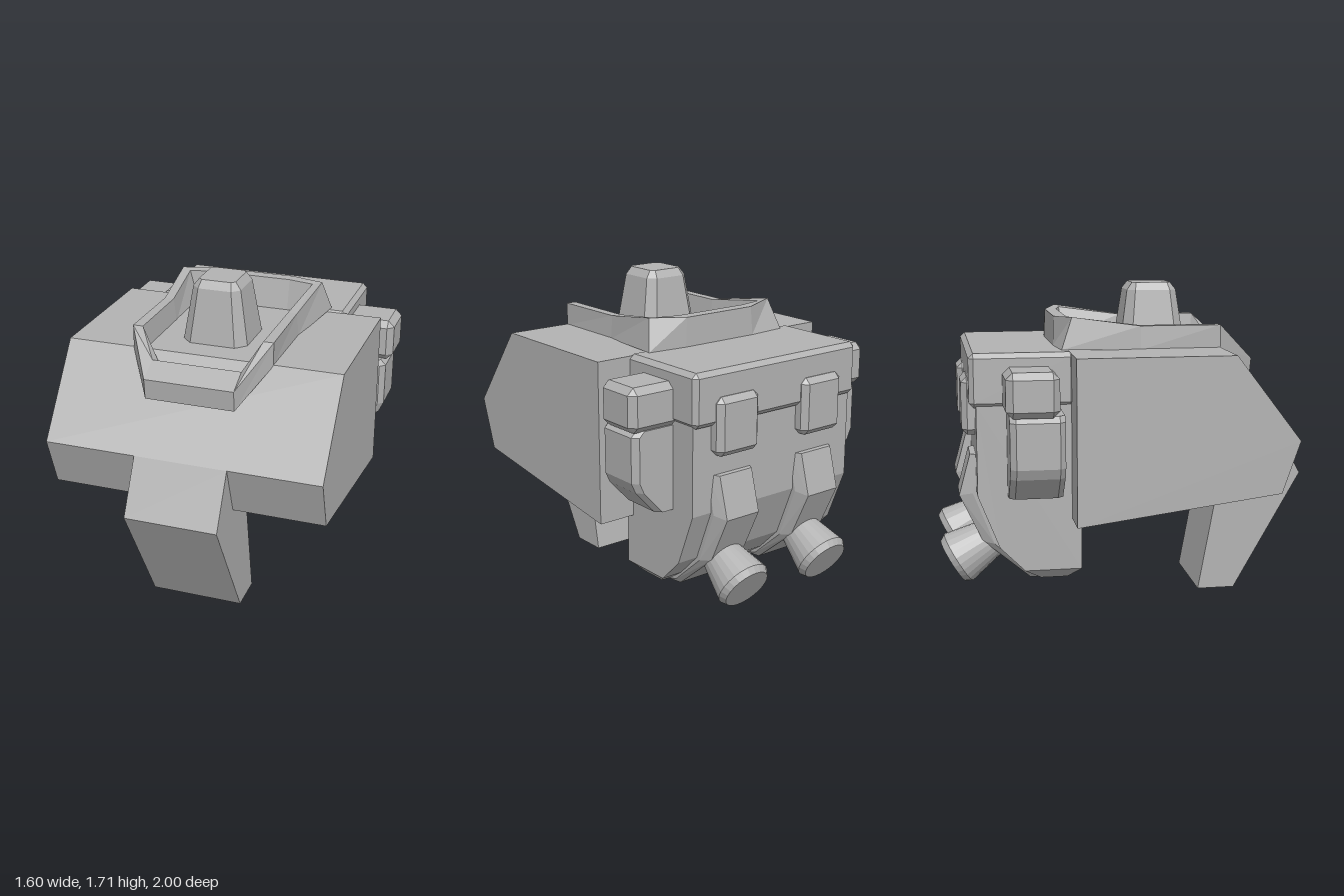
import * as THREE from 'three';
import { ConvexGeometry } from 'three/addons/geometries/ConvexGeometry.js';

const grey = new THREE.MeshStandardMaterial({ color: 0xb2b2b2, flatShading: true });
grey.name = 'plain grey';

export function createModel() {
  const model = new THREE.Group();
  model.name = 'model';

  const add = (name, geometry) => {
    const mesh = new THREE.Mesh(geometry, grey);
    mesh.name = name;
    model.add(mesh);
    return mesh;
  };
  const hull = (pts) => new ConvexGeometry(pts.map((p) => new THREE.Vector3(...p)));

  // Prism from a side profile of [z, y] points, centred on x = 0
  const prism = (profile, halfWidth) => {
    const shape = new THREE.Shape(profile.map(([z, y]) => new THREE.Vector2(-z, y)));
    const g = new THREE.ExtrudeGeometry(shape, { depth: halfWidth * 2, bevelEnabled: false });
    return g.translate(0, 0, -halfWidth).rotateY(Math.PI / 2);
  };

  // Box with every edge chamfered
  const chamferBox = ([x0, x1], [y0, y1], [z0, z1], c) => {
    const pts = [];
    for (const [x, sx] of [[x0, 1], [x1, -1]])
      for (const [y, sy] of [[y0, 1], [y1, -1]])
        for (const [z, sz] of [[z0, 1], [z1, -1]])
          pts.push([x, y + sy * c, z + sz * c], [x + sx * c, y, z + sz * c], [x + sx * c, y + sy * c, z]);
    return hull(pts);
  };

  // Rectangle with cut corners at height y
  const cutRect = (hx, hz, cut, y, cz) => {
    const pts = [];
    for (const sx of [-1, 1])
      for (const sz of [-1, 1])
        pts.push([sx * hx, y, cz + sz * (hz - cut)], [sx * (hx - cut), y, cz + sz * hz]);
    return pts;
  };

  // Main body and the leg below its nose
  add('body', prism([[0.5, 1.38], [-0.32, 1.38], [-0.32, 0.515], [0.75, 0.655], [0.845, 0.93]], 0.745));
  add('frontLeg', prism([[1.0, 0.65], [0.845, 0.93], [0.54, 0.63], [0.425, 0], [0.63, 0]], 0.25));

  // Cockpit rim: sections of outer bottom, outer top, inner top, inner bottom
  const half = [
    [[0.24, 1.19, 0.7], [0.24, 1.3, 0.71], [0.24, 1.36, 0.59], [0.22, 1.33, 0.55]],
    [[0.38, 1.375, 0.5], [0.38, 1.5, 0.5], [0.325, 1.5, 0.5], [0.31, 1.37, 0.49]],
    [[0.385, 1.375, 0.07], [0.375, 1.5, 0.07], [0.325, 1.5, 0.07], [0.31, 1.37, 0.07]],
    [[0.455, 1.39, -0.36], [0.41, 1.555, -0.3], [0.36, 1.545, -0.28], [0.31, 1.37, -0.27]],
    [[0.23, 1.39, -0.38], [0.22, 1.545, -0.375], [0.22, 1.545, -0.31], [0.22, 1.37, -0.27]],
  ];
  const mirrored = half.map((s) => s.map(([x, y, z]) => [-x, y, z])).reverse();
  const ring = [...half, ...mirrored];
  const rimPoints = [];
  ring.forEach((a, i) => {
    const b = ring[(i + 1) % ring.length];
    for (let j = 0; j < 4; j++) {
      const k = (j + 1) % 4;
      rimPoints.push(a[j], b[j], b[k], a[j], b[k], a[k]);
    }
  });
  const rim = new THREE.BufferGeometry();
  rim.setAttribute('position', new THREE.Float32BufferAttribute(rimPoints.flat(), 3));
  rim.computeVertexNormals();
  add('cockpitRim', rim);

  // Tapered block standing in the cockpit
  add('cockpitBlock', hull([
    ...cutRect(0.18, 0.18, 0.055, 1.36, 0.18),
    ...cutRect(0.13, 0.135, 0.04, 1.67, 0.18),
    ...cutRect(0.1, 0.105, 0.02, 1.71, 0.18),
  ]));

  // Rear pack: upper slab, lower case and its chamfered foot
  add('packTop', chamferBox([-0.55, 0.55], [1.11, 1.39], [-0.845, -0.3], 0.025));
  add('packCase', prism([[-0.27, 1.13], [-0.81, 1.13], [-0.81, 0.65], [-0.7, 0.37], [-0.57, 0.24], [-0.27, 0.24]], 0.535));
  const foot = [];
  for (const s of [-1, 1])
    foot.push([s * 0.535, 0.24, -0.27], [s * 0.535, 0.24, -0.57], [s * 0.47, 0.18, -0.34], [s * 0.47, 0.18, -0.48]);
  add('packFoot', hull(foot));

  for (const s of [-1, 1]) {
    const side = s > 0 ? 'left' : 'right';
    const span = (a, b) => (s > 0 ? [a, b] : [-b, -a]);

    // Side pods, the lower one cut away underneath
    add(side + 'UpperPod', chamferBox(span(0.5, 0.8), [1.09, 1.32], [-0.675, -0.405], 0.035));
    const pod = [];
    for (const [x, y, c] of [[0.74, 1.095, 0.03], [0.77, 1.065, 0.03], [0.77, 0.83, 0.03], [0.745, 0.775, 0.03], [0.63, 0.65, 0.03]])
      pod.push([s * x, y, -0.375 - c], [s * x, y, -0.655 + c],
        [s * (x - 0.03), y, -0.375], [s * (x - 0.03), y, -0.655], [s * 0.5, y, -0.375], [s * 0.5, y, -0.655]);
    add(side + 'LowerPod', hull(pod));

    // Back plate
    add(side + 'BackPlate', chamferBox(span(0.15, 0.42), [0.95, 1.255], [-0.88, -0.78], 0.03));

    // Thruster housing with sloped flanks
    const housing = [];
    for (const e of [-1, 1]) {
      for (const [z, y] of [[-0.84, 0.845], [-0.9, 0.625], [-0.78, 0.37], [-0.53, 0.16], [-0.45, 0.16]])
        housing.push([s * 0.28 + e * 0.105, y, z]);
      for (const [z, y] of [[-0.78, 0.845], [-0.83, 0.64], [-0.72, 0.36], [-0.53, 0.19], [-0.45, 0.17]])
        housing.push([s * 0.28 + e * 0.135, y, z]);
    }
    add(side + 'ThrusterHousing', hull(housing));

    // Flared nozzle pointing down and back
    const profile = [[0, -0.03], [0.1, -0.03], [0.148, 0.2], [0.128, 0.235], [0, 0.235]];
    const nozzle = add(side + 'Nozzle', new THREE.LatheGeometry(profile.map((p) => new THREE.Vector2(...p)), 24));
    nozzle.position.set(s * 0.28, 0.36, -0.735);
    nozzle.quaternion.setFromUnitVectors(new THREE.Vector3(0, 1, 0), new THREE.Vector3(0, -0.51, -0.86).normalize());
  }

  return model;
}
